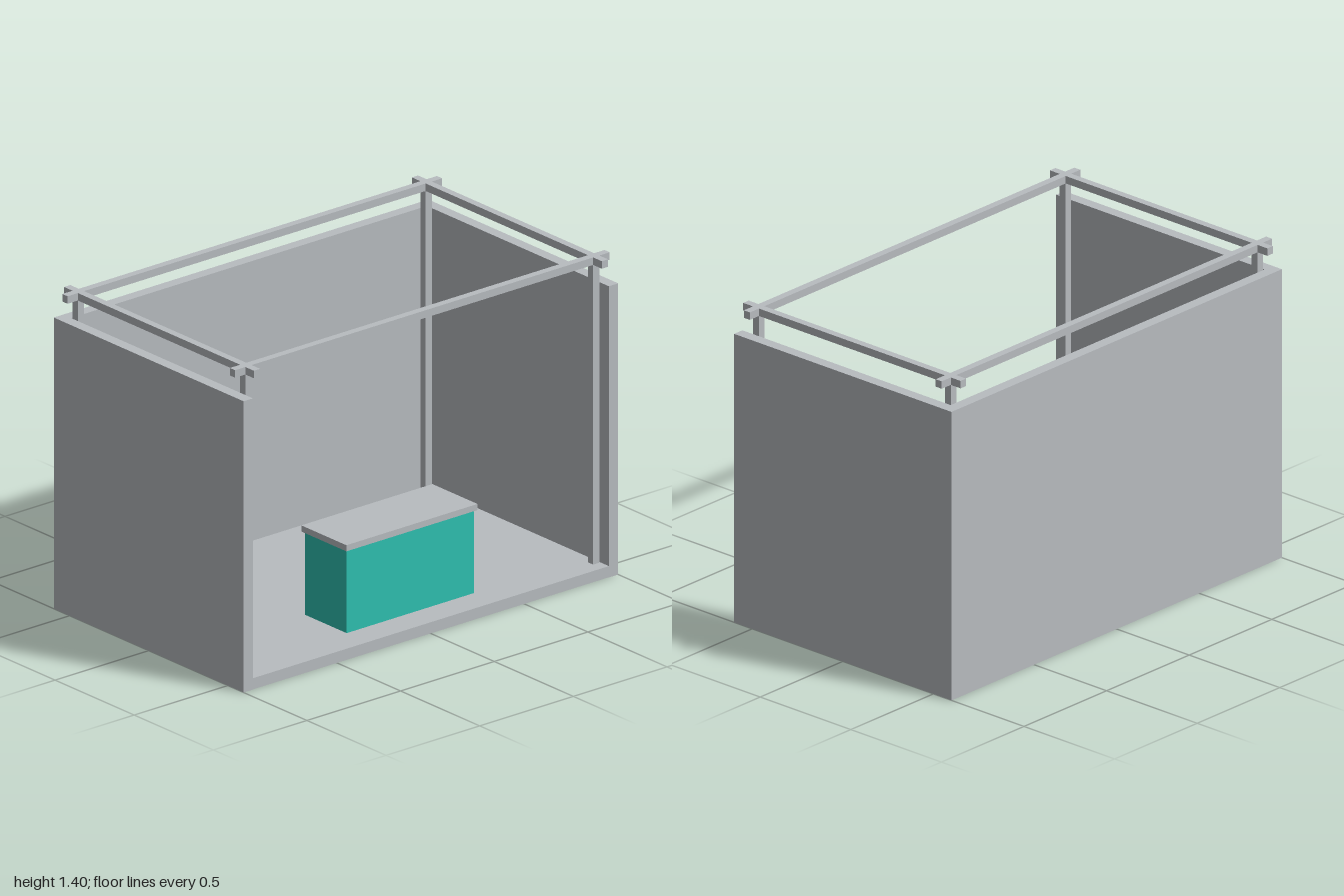
import * as THREE from 'three';

export function createModel() {
  const model = new THREE.Group();
  model.name = 'exhibitionBooth';

  const grey = new THREE.MeshStandardMaterial({ color: 0xb8bcc0 });
  grey.name = 'light grey';
  const teal = new THREE.MeshStandardMaterial({ color: 0x2ec0b0 });
  teal.name = 'teal';

  // Box given by its lower and upper limits on each axis
  function box(name, material, [x0, x1], [y0, y1], [z0, z1]) {
    const mesh = new THREE.Mesh(new THREE.BoxGeometry(x1 - x0, y1 - y0, z1 - z0), material);
    mesh.position.set((x0 + x1) / 2, (y0 + y1) / 2, (z0 + z1) / 2);
    mesh.name = name;
    model.add(mesh);
  }
  const around = (c, size) => [c - size / 2, c + size / 2];

  const W = 1, D = 0.6, H = 1.28; // half width, half depth, wall height
  const T = 0.05;                 // wall and floor thickness
  const BAR = 0.033;              // post and beam section
  const PX = 0.9285, PZ = 0.5295; // post centres
  const TOP = 1.4;

  // Shell: floor, back wall and two side walls, open at the front
  box('floor', grey, [-W + T, W - T], [0.001, T], [-D + T, D]);
  box('backWall', grey, [-W + T, W - T], [0, H], [-D, -D + T]);
  box('rightWall', grey, [-W, -W + T], [0, H], [-D, D]);
  box('leftWall', grey, [W - T, W], [0, H], [-D, D]);

  // Corner posts and the overhead frame of crossing beams
  for (const s of [-1, 1]) {
    const side = s < 0 ? 'right' : 'left';
    box(side + 'FrontPost', grey, around(s * PX, BAR), [T, TOP - BAR], around(PZ, BAR));
    box(side + 'BackPost', grey, around(s * PX, BAR), [T, TOP - BAR], around(-PZ, BAR));
    box(side + 'Beam', grey, around(s * PX, BAR), [TOP - BAR, TOP], [-D, D]);
    box(s < 0 ? 'backBeam' : 'frontBeam', grey, [-W, W], [TOP - BAR, TOP], around(s * PZ, BAR));
  }

  // Reception counter, its base reaching down through the floor
  box('counterBase', teal, [-0.34, 0.34], [0, 0.415], [0.205, 0.47]);
  box('counterTop', grey, [-0.35, 0.35], [0.415, 0.442], [0.195, 0.48]);

  return model;
}
